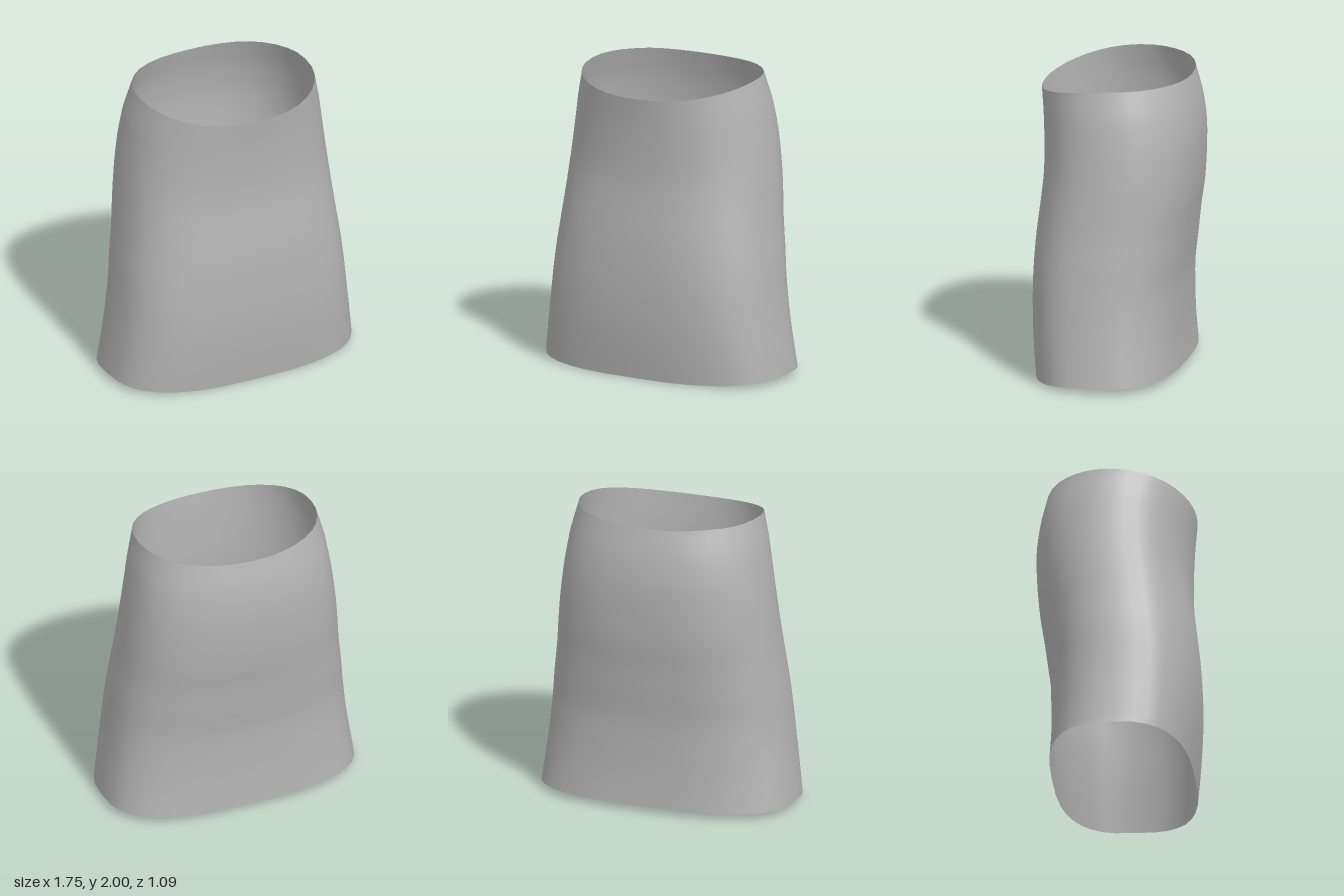
import * as THREE from 'three';

// Profile from hem to waist: half width, front z, back z
const PROFILE = [
  [0.875, 0.505, -0.445], [0.85, 0.525, -0.435], [0.825, 0.54, -0.435],
  [0.805, 0.545, -0.44], [0.785, 0.54, -0.465], [0.76, 0.527, -0.49],
  [0.74, 0.505, -0.52], [0.72, 0.487, -0.535], [0.695, 0.488, -0.54],
  [0.665, 0.497, -0.52], [0.618, 0.515, -0.475],
];
const SIDES = 36;
const ROWS = 30;

const signedPower = (v, p) => Math.sign(v) * Math.abs(v) ** p;

// Waist edge drops towards the front and dips slightly at the middle of the back
function waistHeight(x, z) {
  const drop = 0.1 * (Math.max(0, z + 0.15) / 0.665) ** 2;
  const dip = z < -0.3 ? 0.01 * Math.max(0, 1 - (x / 0.4) ** 2) : 0;
  return 2 - drop - dip;
}

// Hem hangs a little lower at the front
function hemHeight(z) {
  return 0.038 - 0.038 * (Math.max(0, z) / 0.505) ** 2;
}

function skirtGeometry() {
  const spline = new THREE.CatmullRomCurve3(PROFILE.map((p) => new THREE.Vector3(...p)));
  const positions = [];
  const indices = [];
  for (let r = 0; r <= ROWS; r++) {
    const t = r / ROWS;
    const { x: halfWidth, y: front, z: back } = spline.getPoint(t);
    const power = 2 / THREE.MathUtils.lerp(2.8, 2.2, t); // squarer at the hem
    for (let s = 0; s < SIDES; s++) {
      const a = (s / SIDES) * Math.PI * 2;
      const x = halfWidth * signedPower(Math.sin(a), power);
      const z = (front + back) / 2 + ((front - back) / 2) * signedPower(Math.cos(a), power);
      positions.push(x, THREE.MathUtils.lerp(hemHeight(z), waistHeight(x, z), t), z);
      if (r < ROWS) {
        const next = (s + 1) % SIDES;
        const i = r * SIDES;
        const j = i + SIDES;
        indices.push(i + s, i + next, j + next, i + s, j + next, j + s);
      }
    }
  }
  const geometry = new THREE.BufferGeometry();
  geometry.setAttribute('position', new THREE.Float32BufferAttribute(positions, 3));
  geometry.setIndex(indices);
  geometry.computeVertexNormals();
  return geometry;
}

export function createModel() {
  const group = new THREE.Group();
  group.name = 'skirt';
  const fabric = new THREE.MeshStandardMaterial({ color: 0xb4b4b4, side: THREE.DoubleSide });
  fabric.name = 'grey fabric';
  const skirt = new THREE.Mesh(skirtGeometry(), fabric);
  skirt.name = 'skirtBody';
  group.add(skirt);
  return group;
}
